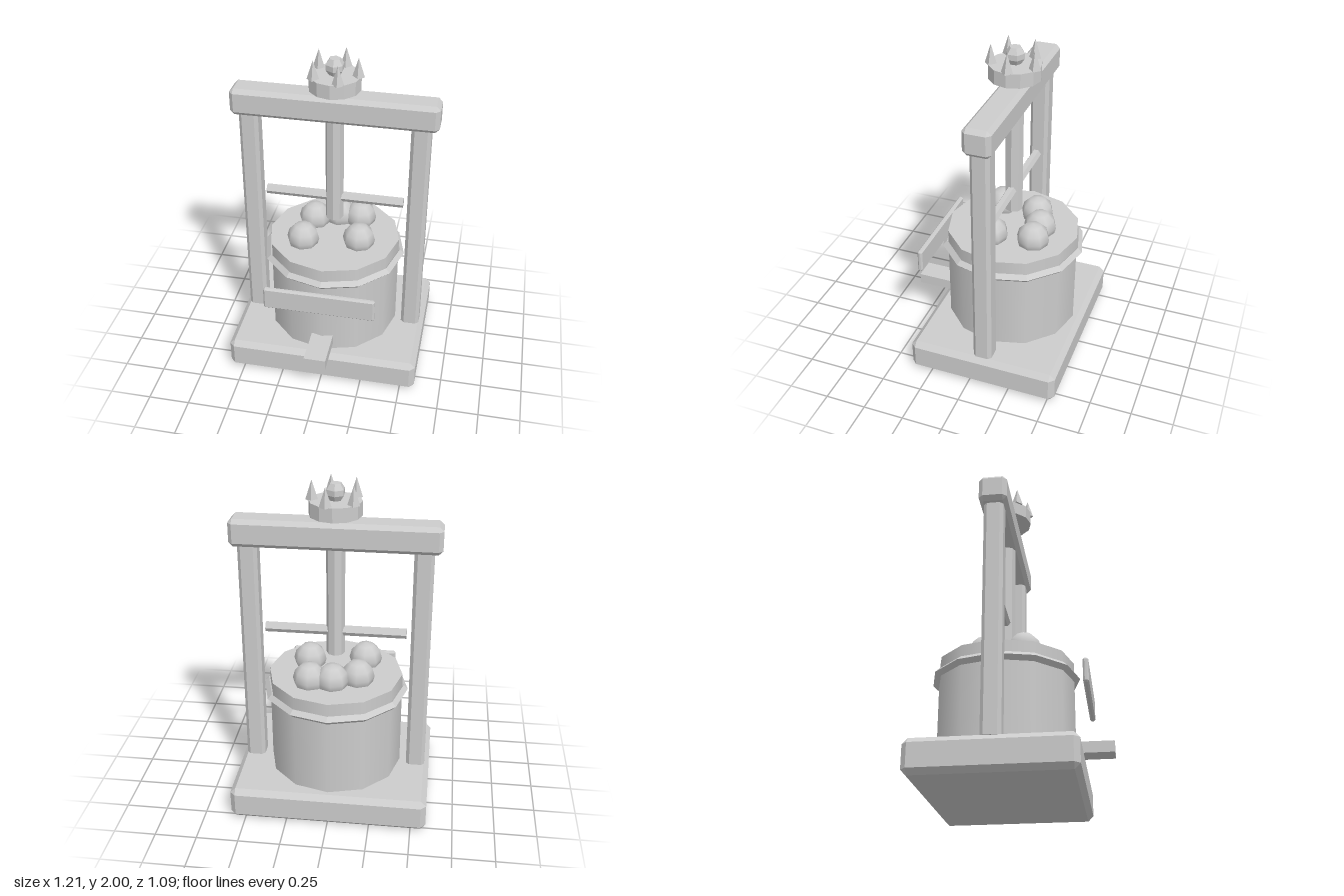
import * as THREE from 'three';
import { ConvexGeometry } from 'three/addons/geometries/ConvexGeometry.js';

const CENTRE_Z = -0.08; // the press axis

export function createModel() {
  const model = new THREE.Group();
  model.name = 'fruitPress';

  const grey = new THREE.MeshStandardMaterial({ color: 0xcccccc });
  grey.name = 'plain grey';

  const add = (name, geometry, x, y, z, parent = model) => {
    const mesh = new THREE.Mesh(geometry, grey);
    mesh.name = name;
    mesh.position.set(x, y, z);
    parent.add(mesh);
    return mesh;
  };

  const flat = (geometry) => {
    const g = geometry.index ? geometry.toNonIndexed() : geometry;
    g.computeVertexNormals();
    return g;
  };

  // Box with every edge and corner chamfered by c
  const chamferBox = (w, h, d, c) => {
    const points = [];
    for (const sx of [-1, 1]) for (const sy of [-1, 1]) for (const sz of [-1, 1]) {
      const [x, y, z] = [w / 2, h / 2, d / 2];
      points.push(
        new THREE.Vector3(sx * x, sy * (y - c), sz * (z - c)),
        new THREE.Vector3(sx * (x - c), sy * y, sz * (z - c)),
        new THREE.Vector3(sx * (x - c), sy * (y - c), sz * z));
    }
    return new ConvexGeometry(points);
  };

  // Frame: plinth, two posts and the crossbeam
  add('base', chamferBox(1.18, 0.2, 0.925, 0.032), 0, 0.1, CENTRE_Z);
  for (const [name, side] of [['leftPost', 1], ['rightPost', -1]]) {
    add(name, chamferBox(0.115, 1.45, 0.115, 0.02), side * 0.505, 0.905, CENTRE_Z);
  }
  add('crossbeam', chamferBox(1.214, 0.165, 0.165, 0.025), 0, 1.692, CENTRE_Z);

  // Screw and its turning bar
  add('screw', flat(new THREE.CylinderGeometry(0.055, 0.055, 0.69, 8)), 0, 1.285, CENTRE_Z);
  const bar = add('turningBar', flat(new THREE.CylinderGeometry(0.03, 0.03, 0.84, 6)), 0, 1.085, CENTRE_Z);
  bar.rotation.z = Math.PI / 2;

  // Tub with a smooth wall and a faceted hoop
  add('tub', new THREE.CylinderGeometry(0.405, 0.405, 0.615, 12), 0, 0.5025, CENTRE_Z);
  const hoop = add('hoop', flat(new THREE.TorusGeometry(0.414, 0.026, 4, 12)), 0, 0.711, CENTRE_Z);
  hoop.rotation.x = Math.PI / 2;

  // Spout and front plate
  add('spout', new THREE.BoxGeometry(0.133, 0.066, 0.235), 0, 0.272, 0.4275);
  add('frontPlate', chamferBox(0.67, 0.145, 0.032, 0.01), 0, 0.632, 0.41);

  // Fruit lying on the tub
  const fruits = new THREE.Group();
  fruits.name = 'fruits';
  model.add(fruits);
  const fruitGeometry = new THREE.SphereGeometry(0.1, 8, 6);
  for (const [x, z] of [[0, -0.25], [0.135, -0.25], [-0.145, -0.185], [-0.17, 0.05], [0.167, 0]]) {
    add('fruit', fruitGeometry, x, 0.845, z, fruits);
  }

  // Crown hovering over the beam: band, five spikes and a cut gem
  const crown = new THREE.Group();
  crown.name = 'crown';
  crown.position.z = CENTRE_Z;
  model.add(crown);
  add('crownBand', flat(new THREE.CylinderGeometry(0.152, 0.152, 0.084, 12)), 0, 1.847, 0, crown);
  const spikeGeometry = flat(new THREE.ConeGeometry(0.036, 0.115, 4));
  for (let i = 0; i < 5; i++) {
    const a = (i / 5) * Math.PI * 2;
    add('crownSpike', spikeGeometry, Math.cos(a) * 0.134, 1.9425, Math.sin(a) * 0.134, crown);
  }
  const gemProfile = [[0, -0.05], [0.033, -0.05], [0.055, -0.016], [0.055, 0.016], [0.033, 0.05], [0, 0.05]]
    .map(([r, y]) => new THREE.Vector2(r, y));
  add('crownGem', flat(new THREE.LatheGeometry(gemProfile, 6)), 0, 1.937, 0, crown);

  return model;
}
